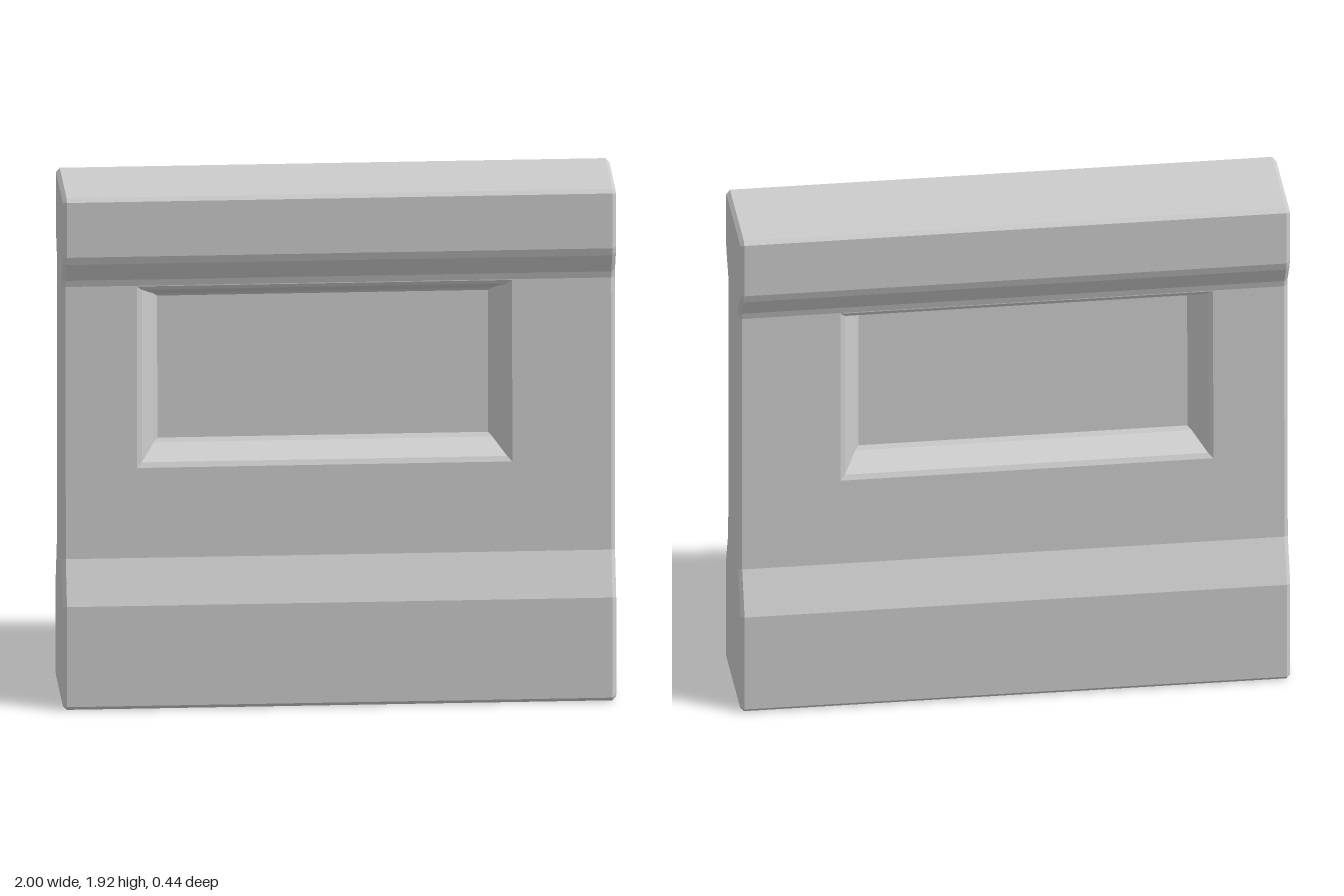
import * as THREE from 'three';

const BEVEL = 0.014;
const END = 1;

// Front half of the cross-section, from bottom to top, as [z, y]
const HALF = [
  [0.206, 0], [0.22, 0.014], [0.22, 0.39], [0.15, 0.55], [0.14, 1.57],
  [0.147, 1.595], [0.2, 1.67], [0.21, 1.7], [0.21, 1.906], [0.197, 1.92],
];
const PANEL = 3; // index of the tall flat stretch that holds the recess

// Offset a closed counter-clockwise outline inwards with mitred corners
function insetLoop(loop, r) {
  const normal = (a, b) => new THREE.Vector2(a.y - b.y, b.x - a.x).normalize();
  return loop.map((p, i) => {
    const n1 = normal(loop[(i + loop.length - 1) % loop.length], p);
    const n2 = normal(p, loop[(i + 1) % loop.length]);
    const k = r / (1 + n1.dot(n2));
    return p.clone().add(n1.add(n2).multiplyScalar(k));
  });
}

// Collects flat faces and turns them into a mesh
class Faces {
  constructor() { this.pos = []; }
  tri(a, b, c) { this.pos.push(...a, ...b, ...c); }
  quad(a, b, c, d) { this.tri(a, b, c); this.tri(a, c, d); }
  mesh(name, material) {
    const g = new THREE.BufferGeometry();
    g.setAttribute('position', new THREE.Float32BufferAttribute(this.pos, 3));
    g.computeVertexNormals();
    const m = new THREE.Mesh(g, material);
    m.name = name;
    return m;
  }
}

// Wall body: the cross-section swept along x, with bevelled ends
function makeBody(material) {
  const faces = new Faces();
  const front = HALF.map(([z, y]) => new THREE.Vector2(z, y));
  const back = HALF.map(([z, y]) => new THREE.Vector2(-z, y)).reverse();
  const full = [...front, ...back];
  const small = insetLoop(full, BEVEL);
  const n = full.length;
  const sections = [
    [-END, small], [-END + BEVEL, full], [END - BEVEL, full], [END, small],
  ];
  const at = (s, j) => [s[0], s[1][j % n].y, s[1][j % n].x];

  for (let i = 0; i < 3; i++) {
    for (let j = 0; j < n; j++) {
      // the two panel faces are built with their recesses instead
      if (i === 1 && (j === PANEL || j === n - 2 - PANEL)) continue;
      const a = sections[i], b = sections[i + 1];
      faces.quad(at(a, j), at(b, j), at(b, j + 1), at(a, j + 1));
    }
  }
  // End caps
  for (const [a, b, c] of THREE.ShapeUtils.triangulateShape(small, [])) {
    faces.tri(at(sections[0], a), at(sections[0], b), at(sections[0], c));
    faces.tri(at(sections[3], c), at(sections[3], b), at(sections[3], a));
  }
  return faces.mesh('wallBody', material);
}

// Panel face with a sunken rectangle, side = 1 for front, -1 for back
function makePanel(side, name, material) {
  const faces = new Faces();
  const [z0, y0] = HALF[PANEL], [z1, y1] = HALF[PANEL + 1];
  const surface = (y) => z0 + ((z1 - z0) * (y - y0)) / (y1 - y0);
  const ring = (xa, xb, ya, yb, depth) =>
    [[xa, ya], [xb, ya], [xb, yb], [xa, yb]].map(
      ([x, y]) => [x, y, side * (surface(y) - depth)]);

  const rings = [ring(-END + BEVEL, END - BEVEL, y0, y1, 0)];
  // rounded lip, steep wall, rounded foot: [inset, depth]
  for (const [t, d] of [[0, 0], [0.018, 0.01], [0.066, 0.1], [0.08, 0.112]]) {
    rings.push(ring(-0.728 + t, 0.628 - t, 0.887 + t, 1.567 - t * 0.85, d));
  }
  const add = (a, b, c, d) =>
    side > 0 ? faces.quad(a, b, c, d) : faces.quad(d, c, b, a);
  for (let k = 0; k + 1 < rings.length; k++) {
    for (let i = 0; i < 4; i++) {
      const j = (i + 1) % 4;
      add(rings[k][i], rings[k][j], rings[k + 1][j], rings[k + 1][i]);
    }
  }
  add(...rings[rings.length - 1]); // recess floor
  return faces.mesh(name, material);
}

export function createModel() {
  const concrete = new THREE.MeshStandardMaterial({ color: 0xcccccc });
  concrete.name = 'concreteGrey';
  const group = new THREE.Group();
  group.name = 'barrierWall';
  group.add(
    makeBody(concrete),
    makePanel(1, 'frontRecessedPanel', concrete),
    makePanel(-1, 'backRecessedPanel', concrete),
  );
  return group;
}
